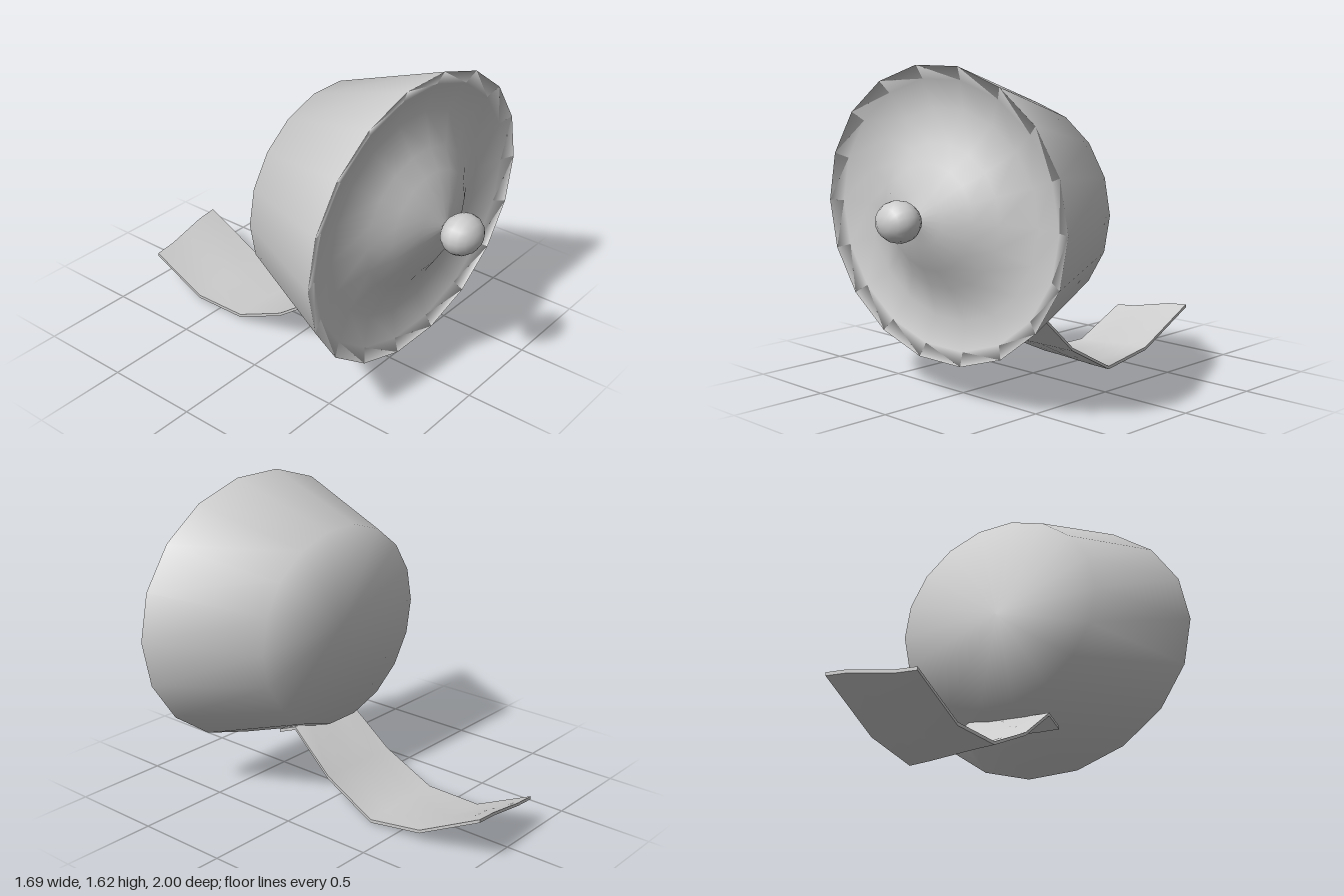
import * as THREE from 'three';
import { mergeVertices } from 'three/addons/utils/BufferGeometryUtils.js';

const CENTER_Y = 0.91;

// Weld the seams so the shading runs smoothly across the whole surface
function smooth(geometry) {
  geometry.deleteAttribute('uv');
  geometry.deleteAttribute('normal');
  const welded = mergeVertices(geometry, 1e-4);
  welded.computeVertexNormals();
  return welded;
}

// Flared oval shell: flat back, straight flare, rounded rim, dish and centre cone
function shellGeometry() {
  const profile = [
    [0, 0.07], [0.58, 0.07], [0.845, 0.655], [0.765, 0.625], [0.6, 0.585],
    [0.41, 0.645], [0.3, 0.71], [0.15, 0.765], [0.035, 0.8], [0, 0.81],
  ].map(([r, z]) => new THREE.Vector2(r, z));
  const geometry = new THREE.LatheGeometry(profile, 18, Math.PI / 2);
  geometry.rotateX(Math.PI / 2);
  // The oval is slightly rounder at the back than at the rim
  const pos = geometry.attributes.position;
  for (let i = 0; i < pos.count; i++) {
    const t = THREE.MathUtils.clamp((pos.getZ(i) - 0.07) / 0.585, 0, 1);
    pos.setY(i, pos.getY(i) * THREE.MathUtils.lerp(0.91, 0.86, t));
  }
  return smooth(geometry);
}

// Thin bent strap, slightly twisted: each station gives z, y on the right and left edges
function strapGeometry() {
  const stations = [
    [0.29, 0.31, 0.295, 0.345],
    [0.19, 0.35, 0.185, 0.388],
    [-0.05, 0.17, -0.045, 0.175],
    [-0.34, 0.035, -0.33, 0.022],
    [-0.65, 0.03, -0.64, 0.07],
    [-0.97, 0.18, -0.995, 0.25],
  ];
  const across = 4, thickness = 0.017;
  const geometry = new THREE.BoxGeometry(1, 1, 1, across, 1, stations.length - 1);
  const pos = geometry.attributes.position;
  for (let i = 0; i < pos.count; i++) {
    const u = pos.getX(i) + 0.5;
    const row = Math.round((0.5 - pos.getZ(i)) * (stations.length - 1));
    const [zr, yr, zl, yl] = stations[row];
    const under = pos.getY(i) < 0 ? thickness : 0;
    const ease = u * u * (3 - 2 * u);
    pos.setXYZ(i, (u - 0.5) * 0.48,
      THREE.MathUtils.lerp(yr, yl, ease) - under,
      THREE.MathUtils.lerp(zr, zl, ease));
  }
  geometry.computeVertexNormals();
  return geometry;
}

export function createModel() {
  const group = new THREE.Group();
  const material = new THREE.MeshStandardMaterial({ color: 0xcccccc });

  const add = (name, geometry) => {
    const mesh = new THREE.Mesh(geometry, material);
    mesh.name = name;
    group.add(mesh);
    return mesh;
  };

  add('shell', shellGeometry()).position.y = CENTER_Y;

  // Ball on the tip of the centre cone
  const ball = new THREE.SphereGeometry(0.1, 18, 8);
  ball.rotateX(Math.PI / 2);
  ball.scale(1.2, 1.02, 1);
  add('centerBall', ball).position.set(0, CENTER_Y, 0.9);

  add('strap', strapGeometry());
  return group;
}
